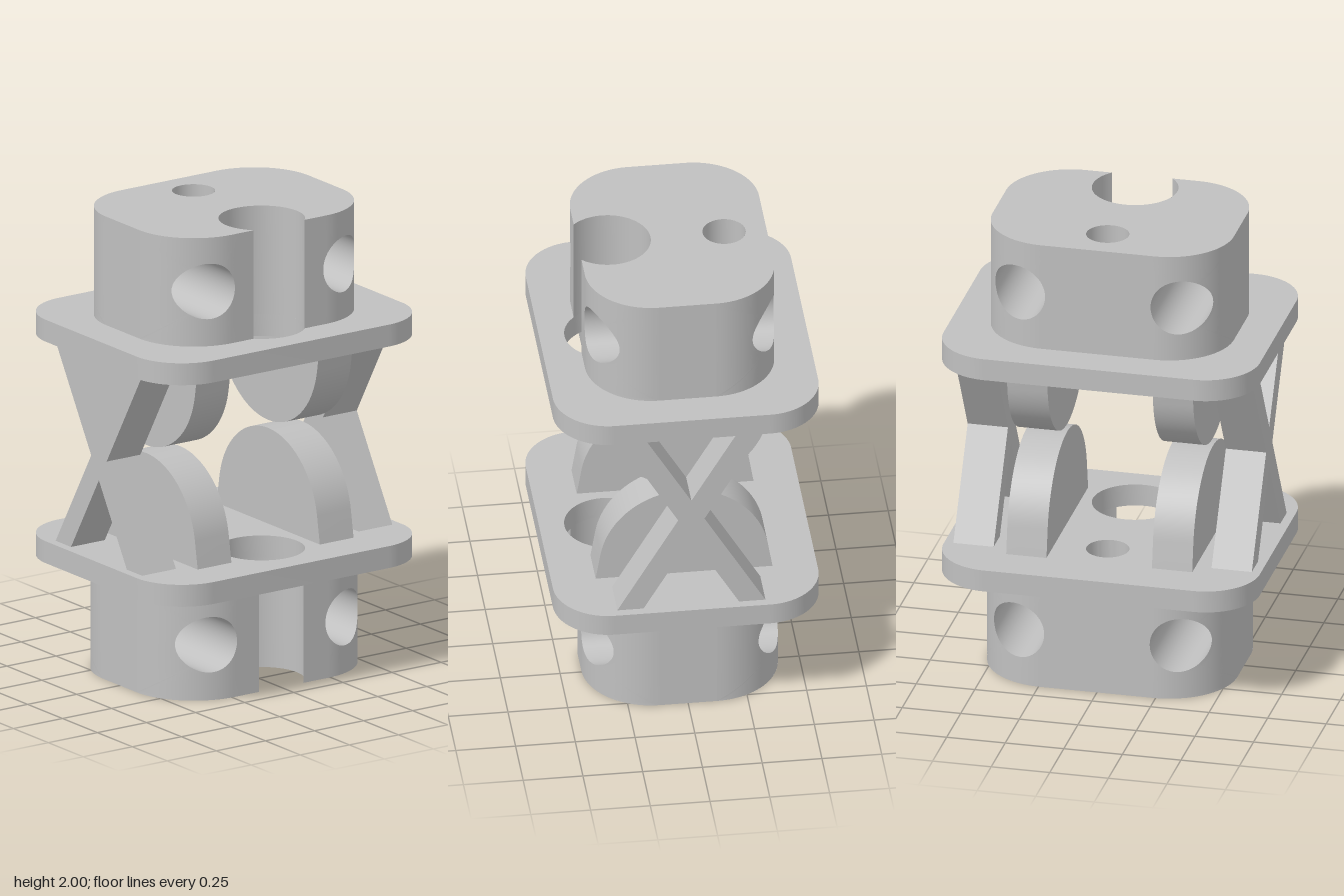
import * as THREE from 'three';
import { toCreasedNormals, mergeGeometries } from 'three/addons/utils/BufferGeometryUtils.js';

const grey = new THREE.MeshStandardMaterial({ color: 0xc0c0c0, side: THREE.DoubleSide });
grey.name = 'light grey';

const PORT = { x: 0, z: 0.27, r: 0.18 };   // large vertical port
const BORE = { x: 0, z: -0.218, r: 0.09 }; // small vertical bore
const BOLT = { x: 0.345, r: 0.12 };        // cross holes

function add(parent, name, geometry) {
  const mesh = new THREE.Mesh(geometry, grey);
  mesh.name = name;
  parent.add(mesh);
}

function circlePath(c) {
  const p = new THREE.Path();
  p.absarc(c.x, c.z, c.r, 0, Math.PI * 2, true);
  return p;
}

// Surface over an n by m grid; f(a, b) gives a point for a, b in 0..1
function grid(n, m, f, flip = false) {
  const pos = [], index = [];
  for (let i = 0; i <= n; i++) for (let j = 0; j <= m; j++) pos.push(...f(i / n, j / m));
  for (let i = 0; i < n; i++) for (let j = 0; j < m; j++) {
    const a = i * (m + 1) + j, b = a + 1, d = a + m + 1, c = d + 1;
    index.push(...(flip ? [a, c, b, a, d, c] : [a, b, c, a, c, d]));
  }
  const g = new THREE.BufferGeometry();
  g.setAttribute('position', new THREE.Float32BufferAttribute(pos, 3));
  g.setIndex(index);
  g.computeVertexNormals();
  return g;
}

// Rounded flange with both vertical holes
function flange(yTop, depth) {
  const w = 0.675, d = 0.555, r = 0.23, q = Math.PI / 2;
  const s = new THREE.Shape();
  s.absarc(w - r, d - r, r, 0, q);
  s.absarc(-w + r, d - r, r, q, 2 * q);
  s.absarc(-w + r, -d + r, r, 2 * q, 3 * q);
  s.absarc(w - r, -d + r, r, 3 * q, 4 * q);
  s.closePath();
  s.holes.push(circlePath(PORT), circlePath(BORE));
  const g = new THREE.ExtrudeGeometry(s, { depth, bevelEnabled: false, curveSegments: 32 });
  g.rotateX(Math.PI / 2).translate(0, yTop, 0);
  return toCreasedNormals(g, 0.5);
}

// Rounded block, notched by the port and drilled front to back
function block(name, w, d, r, y0, y1, holeY, capY) {
  const group = new THREE.Group();
  group.name = name;
  const cx = w - r, cz = d - r, inner = 0.2, q = Math.PI / 2;
  const t0 = Math.asin((d - PORT.z) / PORT.r), nx = PORT.r * Math.cos(t0);
  const toU = x => (x < cx ? (x - cx) / r : Math.asin(Math.min(1, (x - cx) / r)));
  const toX = u => (u < 0 ? cx + u * r : cx + r * Math.sin(u));
  const toZ = u => (u < 0 ? d : cz + r * Math.cos(u));

  // Outline walked around the curved skin, with the cross hole left open
  const u0 = toU(inner), u1 = q;
  const corners = [[u1, y0], [u1, y1], [u0, y1], [u0, y0]];
  const rim = a => {
    const k = Math.min(3, Math.floor(a * 4)), t = a * 4 - k;
    const p = corners[k], n = corners[(k + 1) % 4];
    return [p[0] + (n[0] - p[0]) * t, p[1] + (n[1] - p[1]) * t];
  };
  const hole = a => {
    const [u, y] = rim(a);
    const ang = Math.atan2(y - holeY, toX(u) - BOLT.x);
    return [toU(BOLT.x + BOLT.r * Math.cos(ang)), holeY + BOLT.r * Math.sin(ang)];
  };
  const skins = [], bores = [];
  for (const sx of [1, -1]) {
    for (const sz of [1, -1]) {
      skins.push(grid(96, 10, (a, b) => {
        const h = hole(a), o = rim(a);
        const u = h[0] + (o[0] - h[0]) * b;
        return [sx * toX(u), h[1] + (o[1] - h[1]) * b, sz * toZ(u)];
      }, sx * sz < 0));
    }
    bores.push(grid(96, 1, (a, b) => {
      const [u, y] = hole(a);
      return [sx * toX(u), y, (b * 2 - 1) * toZ(u)];
    }, sx < 0));
  }
  add(group, 'roundedCorners', mergeGeometries(skins));
  add(group, 'crossHoles', mergeGeometries(bores));

  // Flat walls
  const wall = (xa, za, xb, zb) => grid(1, 1, (a, b) =>
    [xa + (xb - xa) * a, y0 + (y1 - y0) * b, za + (zb - za) * a]);
  add(group, 'flatWalls', mergeGeometries([
    wall(w, -cz, w, cz), wall(-w, cz, -w, -cz),
    wall(inner, d, nx, d), wall(-nx, d, -inner, d), wall(-inner, -d, inner, -d),
  ]));

  // Vertical port and bore walls
  const round = (c, from, to) => grid(64, 1, (a, b) => {
    const t = from + (to - from) * a;
    return [c.x + c.r * Math.cos(t), y0 + (y1 - y0) * b, c.z + c.r * Math.sin(t)];
  });
  add(group, 'portWall', round(PORT, t0, -Math.PI - t0));
  add(group, 'boreWall', round(BORE, Math.PI * 2, 0));

  // End face
  const s = new THREE.Shape();
  s.absarc(cx, -cz, r, -q, 0);
  s.absarc(cx, cz, r, 0, q);
  s.absarc(PORT.x, PORT.z, PORT.r, t0, -Math.PI - t0, true);
  s.absarc(-cx, cz, r, q, 2 * q);
  s.absarc(-cx, -cz, r, 2 * q, 3 * q);
  s.closePath();
  s.holes.push(circlePath(BORE));
  const cap = new THREE.ShapeGeometry(s, 40);
  cap.rotateX(capY === y0 ? Math.PI / 2 : -Math.PI / 2);
  if (capY !== y0) cap.rotateY(Math.PI).scale(1, 1, 1);
  // Keep the port at the front whichever way the face points
  if (capY !== y0) cap.rotateY(Math.PI).applyMatrix4(new THREE.Matrix4().makeScale(1, 1, -1));
  if (capY !== y0) {
    const ix = cap.index.array;
    for (let i = 0; i < ix.length; i += 3) [ix[i], ix[i + 1]] = [ix[i + 1], ix[i]];
    // Mirroring reverses the winding, so the normals are rebuilt
  }
  cap.computeVertexNormals();
  cap.translate(0, capY, 0);
  add(group, 'endFace', cap);
  return group;
}

// Side profile in (z, y) extruded across x from x0 to x1
function slab(shape, x0, x1) {
  const g = new THREE.ExtrudeGeometry(shape, { depth: x1 - x0, bevelEnabled: false, curveSegments: 40 });
  g.rotateY(Math.PI / 2).translate(x0, 0, 0);
  return toCreasedNormals(g, 0.5);
}

export function createModel() {
  const model = new THREE.Group();
  model.name = 'flexureCoupling';
  const mid = 1.0025, low = 0.57, high = 1.435;

  model.add(block('lowerBlock', 0.53, 0.41, 0.29, 0, 0.475, 0.24, 0));
  model.add(block('upperBlock', 0.515, 0.395, 0.275, 1.53, 2, 1.767, 2));
  add(model, 'lowerFlange', flange(0.57, 0.095));
  add(model, 'upperFlange', flange(1.53, 0.095));

  // Rolling half-discs, lower and upper
  const disc = up => {
    const y = v => (up ? 2 * mid - v : v);
    const pts = [[-0.37, low]];
    for (let i = 0; i <= 48; i++) {
      const t = Math.PI - 0.17 - (i / 48) * (Math.PI - 0.34);
      pts.push([0.355 * Math.cos(t), 0.63 + 0.355 * Math.sin(t)]);
    }
    pts.push([0.37, low]);
    return new THREE.Shape(pts.map(p => new THREE.Vector2(p[0], y(p[1]))));
  };

  // Crossed flexure strips
  const cross = new THREE.Shape([
    [-0.31, low], [-0.2, low], [0, 0.908], [0.2, low], [0.31, low], [0.055, mid],
    [0.31, high], [0.2, high], [0, 1.097], [-0.2, high], [-0.31, high], [-0.055, mid],
  ].map(p => new THREE.Vector2(...p)));

  for (const [side, s] of [['left', 1], ['right', -1]]) {
    const span = (a, b) => (s > 0 ? [a, b] : [-b, -a]);
    add(model, side + 'LowerHalfDisc', slab(disc(false), ...span(0.225, 0.397)));
    add(model, side + 'UpperHalfDisc', slab(disc(true), ...span(0.225, 0.397)));
    add(model, side + 'CrossedStrips', slab(cross, ...span(0.465, 0.637)));
  }
  return model;
}
